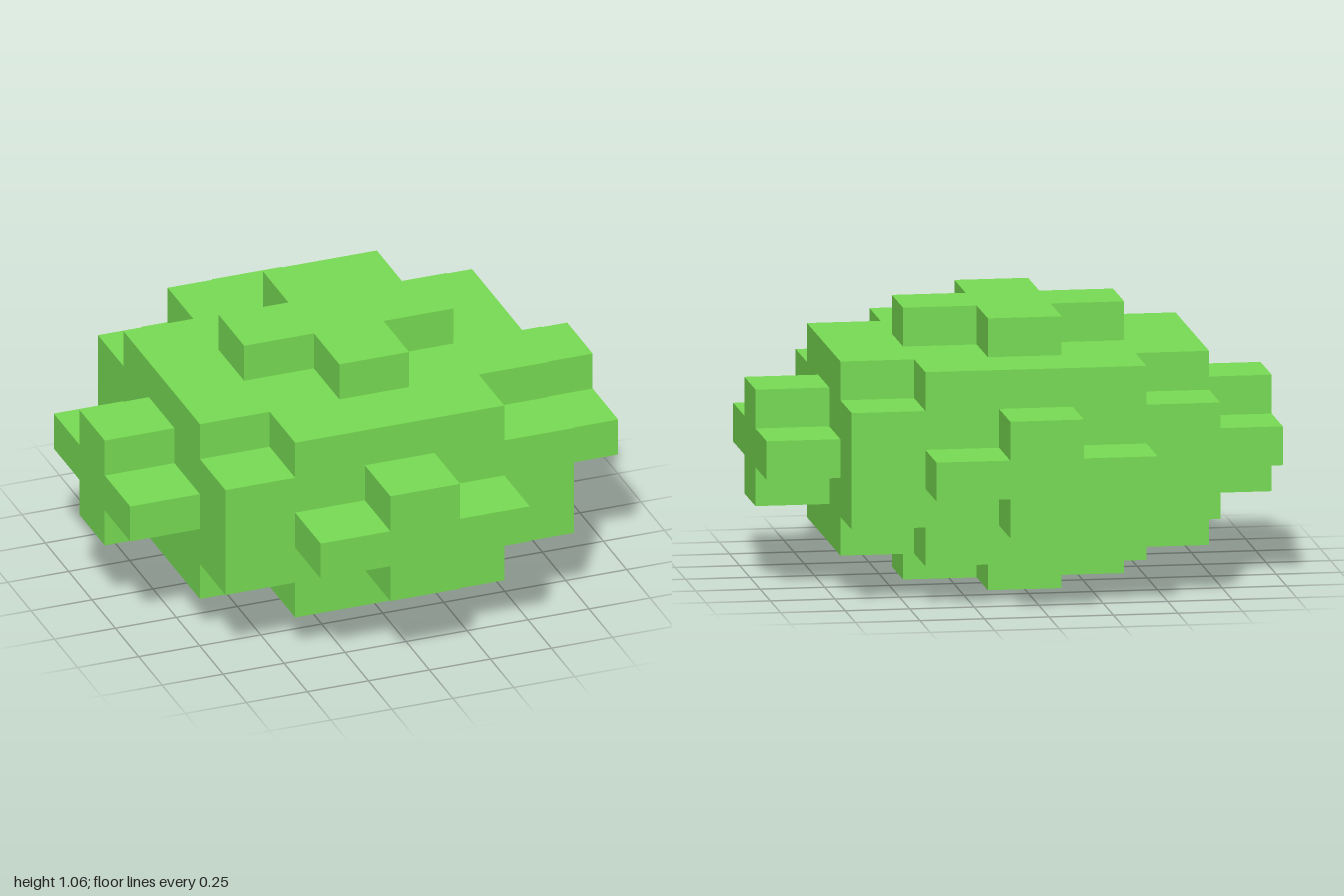
import * as THREE from 'three';

// Block size on each axis and the height of the centre
const SIZE = [2 / 7, 1.058 / 7, 1.91 / 7];
const CENTRE_Y = 1.058 / 2;

// A block belongs to the rounded cluster when it lies within this radius
const filled = (c) => c[0] ** 2 + c[1] ** 2 + c[2] ** 2 <= 10;

// Outermost blocks form a cross-shaped knob on each side; the rest is the body
function partOf([x, y, z]) {
  if (Math.abs(x) === 3) return x > 0 ? 'leftKnob' : 'rightKnob';
  if (Math.abs(y) === 3) return y > 0 ? 'topKnob' : 'bottomKnob';
  if (Math.abs(z) === 3) return z > 0 ? 'frontKnob' : 'backKnob';
  return 'body';
}

// Add one outward-facing block side as two triangles
function addFace(out, cell, axis, sign) {
  const u = (axis + 1) % 3, v = (axis + 2) % 3;
  const corners = [[-1, -1], [1, -1], [1, 1], [-1, 1]].map(([a, b]) => {
    const p = [...cell];
    p[axis] += sign / 2;
    p[u] += (a * sign) / 2; // mirrored on the negative side to keep the winding
    p[v] += b / 2;
    return [p[0] * SIZE[0], p[1] * SIZE[1] + CENTRE_Y, p[2] * SIZE[2]];
  });
  for (const i of [0, 1, 2, 0, 2, 3]) out.push(...corners[i]);
}

export function createModel() {
  const group = new THREE.Group();
  group.name = 'blockCluster';
  const material = new THREE.MeshStandardMaterial({ color: 0x78dd54, flatShading: true });
  const parts = {};

  // Keep only the block sides that are exposed
  for (let x = -3; x <= 3; x++)
    for (let y = -3; y <= 3; y++)
      for (let z = -3; z <= 3; z++) {
        const cell = [x, y, z];
        if (!filled(cell)) continue;
        const out = (parts[partOf(cell)] ??= []);
        for (let axis = 0; axis < 3; axis++)
          for (const sign of [-1, 1]) {
            const next = [...cell];
            next[axis] += sign;
            if (!filled(next)) addFace(out, cell, axis, sign);
          }
      }

  for (const [name, positions] of Object.entries(parts)) {
    const geometry = new THREE.BufferGeometry();
    geometry.setAttribute('position', new THREE.Float32BufferAttribute(positions, 3));
    geometry.computeVertexNormals();
    const mesh = new THREE.Mesh(geometry, material);
    mesh.name = name;
    group.add(mesh);
  }
  return group;
}
